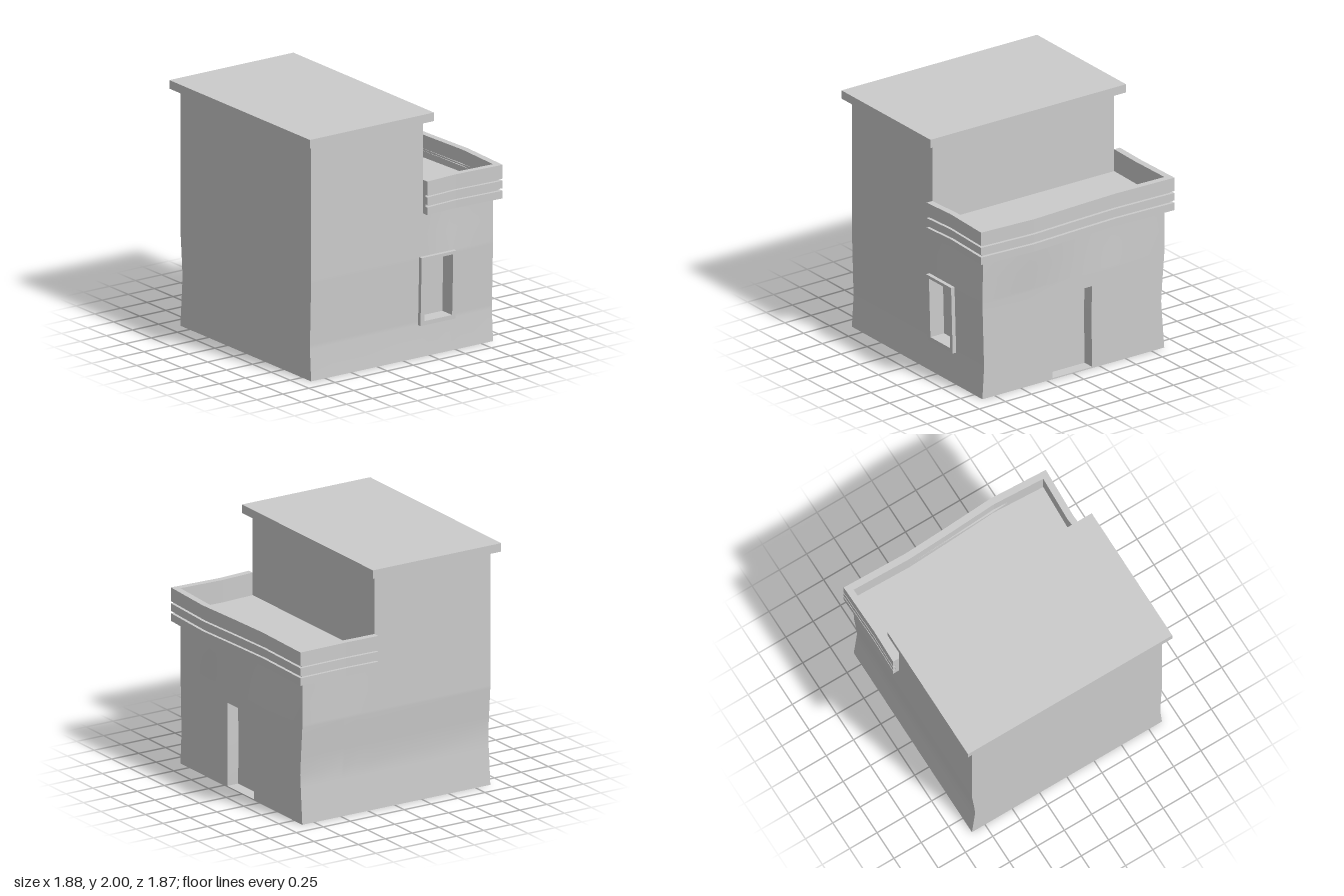
import * as THREE from 'three';

const material = new THREE.MeshStandardMaterial({ color: 0xcccccc });

// Piecewise linear lookup through [position, value] pairs.
function interp(pts, t) {
  if (t <= pts[0][0]) return pts[0][1];
  for (let i = 1; i < pts.length; i++) {
    const [a, va] = pts[i - 1], [b, vb] = pts[i];
    if (t <= b) return va + ((vb - va) * (t - a)) / (b - a);
  }
  return pts[pts.length - 1][1];
}

// Hand-built unevenness of the plaster walls.
const FRONT_DIP = [[0, 0], [0.26, 0.016], [0.82, 0]];
const BACK_DIP = [[0, 0], [0.26, 0.02], [0.4, 0.03], [0.55, 0.02], [0.8, 0]];
const FRONT_SWAY = [[0.19, 0], [0.48, -0.02], [0.9, -0.003]];
const BACK_SWAY = [[0.19, 0], [0.48, 0.006], [0.9, -0.003]];
const BULGE = [[-0.93, 0], [-0.37, -0.014], [0, 0.002], [0.43, 0.025], [0.92, 0]];

function warp(x, y, z) {
  const top = THREE.MathUtils.clamp((y - 0.8) / 0.37, 0, 1);
  const side = Math.max(0, (x - 0.19) / 0.67);
  const k = z / 0.87;
  const dip = interp(z > 0 ? FRONT_DIP : BACK_DIP, y);
  const sway = interp(z > 0 ? FRONT_SWAY : BACK_SWAY, x);
  return [
    x + top * Math.min(side, 1) * interp(BULGE, z),
    y,
    z - k * dip + Math.abs(k) * top * sway,
  ];
}

function addMesh(parent, name, geometry) {
  const mesh = new THREE.Mesh(geometry, material);
  mesh.name = name;
  parent.add(mesh);
}

// Grid surface facing u x v; cells whose centre passes skip are left open.
function addPanel(parent, name, us, vs, map, skip = () => false) {
  const positions = [], index = [], n = us.length;
  for (const v of vs) for (const u of us) positions.push(...warp(...map(u, v)));
  for (let j = 0; j < vs.length - 1; j++) {
    for (let i = 0; i < n - 1; i++) {
      if (skip((us[i] + us[i + 1]) / 2, (vs[j] + vs[j + 1]) / 2)) continue;
      const a = j * n + i;
      index.push(a, a + 1, a + n + 1, a, a + n + 1, a + n);
    }
  }
  const g = new THREE.BufferGeometry();
  g.setAttribute('position', new THREE.Float32BufferAttribute(positions, 3));
  g.setIndex(index);
  g.computeVertexNormals();
  addMesh(parent, name, g);
}

// Recess behind an opening; map(u, v, d) goes d deep into the wall.
function addNiche(parent, name, us, vs, depth, map) {
  const group = new THREE.Group();
  group.name = name;
  parent.add(group);
  const u1 = us[us.length - 1], v1 = vs[vs.length - 1];
  const inward = [0, depth], outward = [depth, 0];
  addPanel(group, 'recessBack', us, vs, (u, v) => map(u, v, depth));
  addPanel(group, 'jambA', inward, vs, (d, v) => map(us[0], v, d));
  addPanel(group, 'jambB', outward, vs, (d, v) => map(u1, v, d));
  addPanel(group, 'sill', us, inward, (u, d) => map(u, vs[0], d));
  addPanel(group, 'lintel', us, outward, (u, d) => map(u, v1, d));
}

// U-shaped course around three sides of the terrace.
function addCourse(parent, name, y0, y1, out) {
  const X = 0.86, Z = 0.87;
  const xs = [0.19, 0.33, 0.48, 0.67], zs = [0.65, 0.43, 0.2, 0, -0.18, -0.37, -0.6];
  const line = (o) => [
    ...xs.map((x) => [x, Z + o]), [X + o, Z + o],
    ...zs.map((z) => [X + o, z]), [X + o, -Z - o],
    ...[...xs].reverse().map((x) => [x, -Z - o]),
  ];
  const outline = [...line(out), ...line(0).reverse()];
  const shape = new THREE.Shape(outline.map(([x, z]) => new THREE.Vector2(x, -z)));
  const g = new THREE.ExtrudeGeometry(shape, { depth: y1 - y0, bevelEnabled: false });
  g.rotateX(-Math.PI / 2).translate(0, y0, 0);
  const p = g.attributes.position;
  for (let i = 0; i < p.count; i++) p.setXYZ(i, ...warp(p.getX(i), p.getY(i), p.getZ(i)));
  g.computeVertexNormals();
  addMesh(parent, name, g);
}

export function createModel() {
  const model = new THREE.Group();
  model.name = 'house';

  const L = -0.885, T = 0.19, R = 0.86, Z = 0.87, FLOOR = 1.26, TOP = 1.93;
  const xs = [L, -0.35, T, 0.33, 0.455, 0.48, 0.67, R];
  const zs = [-0.87, -0.6, -0.37, -0.18, 0, 0.2, 0.43, 0.65, 0.87];
  const negate = (a) => a.map((v) => -v).reverse();
  const lowYs = [0, 0.01, 0.26, 0.295, 0.4, 0.55, 0.695, 0.795, 0.82, 1, 1.17, FLOOR];
  const ys = [...lowYs, TOP];
  const between = (v, a, b) => v > a && v < b;

  // Outer walls, stepped down beside the tower
  const walls = new THREE.Group();
  walls.name = 'walls';
  model.add(walls);
  addPanel(walls, 'frontWall', xs, ys, (x, y) => [x, y, Z],
    (x, y) => (x > T && y > FLOOR) || (between(x, T, 0.455) && between(y, 0.295, 0.795)));
  addPanel(walls, 'backWall', negate(xs), ys, (u, y) => [-u, y, -Z],
    (u, y) => -u > T && y > FLOOR);
  addPanel(walls, 'leftWall', zs, ys, (z, y) => [L, y, z]);
  addPanel(walls, 'rightWall', negate(zs), lowYs, (u, y) => [R, y, -u],
    (u, y) => between(-u, -0.18, 0.2) && between(y, 0.01, 0.695));
  addPanel(walls, 'towerSideWall', negate(zs), [FLOOR, TOP], (u, y) => [T, y, -u]);
  addPanel(walls, 'underside', xs, zs, (x, z) => [x, 0, z]);
  addPanel(model, 'terraceFloor', xs.slice(2), negate(zs), (x, u) => [x, FLOOR, -u]);

  // Openings
  addNiche(model, 'windowRecess', [T, 0.33, 0.455], [0.295, 0.4, 0.55, 0.795], 0.1,
    (x, y, d) => [x, y, Z - d]);
  addNiche(model, 'doorway', [-0.2, 0, 0.18], [0.01, 0.26, 0.4, 0.55, 0.695], 0.1,
    (u, y, d) => [R - d, y, -u]);

  // Window surround, leaning with the wall
  const rect = (Type, x0, x1, y0, y1) => new Type([[x0, y0], [x1, y0], [x1, y1], [x0, y1]]
    .map(([x, y]) => new THREE.Vector2(x, y)));
  const surround = rect(THREE.Shape, 0.152, 0.487, 0.26, 0.82);
  surround.holes.push(rect(THREE.Path, T, 0.455, 0.295, 0.795));
  const frame = new THREE.ExtrudeGeometry(surround, { depth: 0.033, bevelEnabled: false });
  const p = frame.attributes.position;
  for (let i = 0; i < p.count; i++) {
    p.setZ(i, p.getZ(i) + Z - interp(FRONT_DIP, p.getY(i)));
  }
  frame.computeVertexNormals();
  addMesh(model, 'windowFrame', frame);

  // Parapet: three bands with recessed grooves between
  const parapet = new THREE.Group();
  parapet.name = 'parapet';
  model.add(parapet);
  for (const [y0, y1] of [[1.17, 1.233], [1.253, 1.315], [1.332, 1.445]]) {
    addCourse(parapet, 'parapetBand', y0, y1, 0.055);
  }
  for (const [y0, y1] of [[1.233, 1.253], [1.315, 1.332]]) {
    addCourse(parapet, 'parapetGroove', y0, y1, 0.03);
  }

  // Tower roof slab
  const roof = new THREE.BoxGeometry(1.19, 0.07, 1.87);
  addMesh(model, 'roofSlab', roof.translate(-0.345, 1.965, -0.005));

  return model;
}
